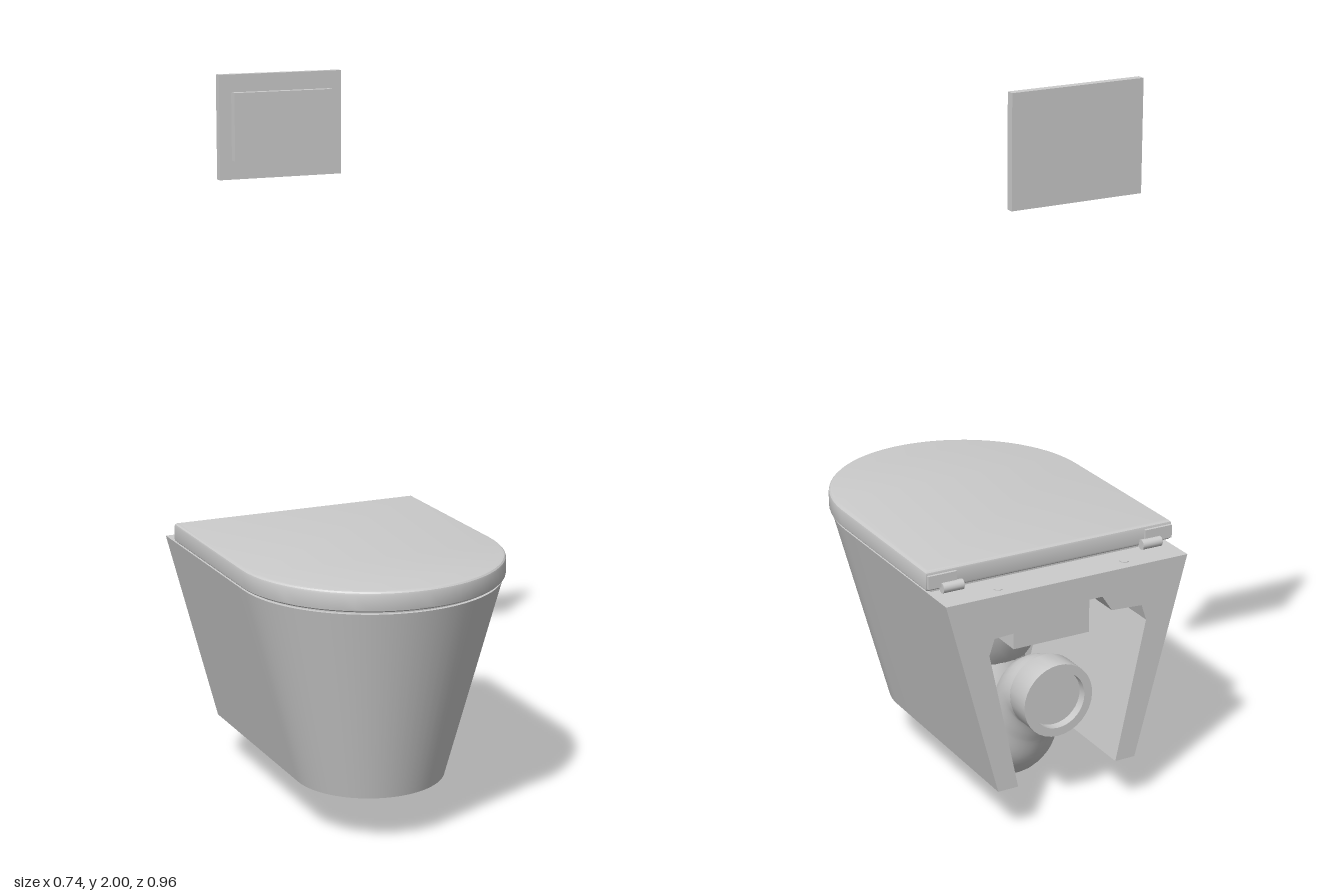
import * as THREE from 'three';
import { toCreasedNormals } from 'three/addons/utils/BufferGeometryUtils.js';

const material = new THREE.MeshStandardMaterial({ color: 0xcccccc, side: THREE.DoubleSide });
const ARC_Z = 0.11; // where the straight sides turn into the round front

function add(parent, name, geometry, x = 0, y = 0, z = 0) {
  const mesh = new THREE.Mesh(geometry, material);
  mesh.name = name;
  mesh.position.set(x, y, z);
  parent.add(mesh);
  return mesh;
}

// D-shaped slab lying flat: straight back and sides, half-round front
function dSlab(w, back, height, bevel = 0, segments = 18) {
  const r = w - bevel;
  const shape = new THREE.Shape();
  shape.moveTo(r, -back - bevel);
  shape.lineTo(r, -ARC_Z);
  shape.absarc(0, -ARC_Z, r, 0, -Math.PI, true);
  shape.lineTo(-r, -back - bevel);
  shape.closePath();
  const g = new THREE.ExtrudeGeometry(shape, {
    depth: height - 2 * bevel, curveSegments: segments,
    bevelEnabled: bevel > 0, bevelSize: bevel, bevelThickness: bevel, bevelSegments: 3,
  });
  g.translate(0, 0, bevel);
  g.rotateX(-Math.PI / 2);
  return g;
}

export function createModel() {
  const group = new THREE.Group();
  const floorY = 0.142, rimY = 0.703, topW = 0.362, bottomW = 0.21, splitZ = 0.02, backZ = -0.48;

  // Front of the bowl: D-slab narrowed toward the floor
  const front = dSlab(topW, splitZ, rimY - floorY);
  const p = front.attributes.position;
  for (let i = 0; i < p.count; i++) {
    const t = p.getY(i) / (rimY - floorY);
    const s = THREE.MathUtils.lerp(bottomW / topW, 1, t);
    p.setX(i, p.getX(i) * s);
    if (p.getZ(i) > ARC_Z) p.setZ(i, ARC_Z + (p.getZ(i) - ARC_Z) * s);
  }
  front.computeVertexNormals();
  add(group, 'bowlFront', toCreasedNormals(front, 0.5), 0, floorY, 0);

  // Rear of the bowl: tapered section with a cavity open to the back and below
  const half = [[bottomW, floorY], [0.15, floorY], [0.237, 0.54], [0.222, 0.585], [0.13, 0.59], [0.1, 0.635]];
  const section = new THREE.Shape();
  section.moveTo(-topW, rimY);
  section.lineTo(topW, rimY);
  half.forEach(([x, y]) => section.lineTo(x, y));
  [...half].reverse().forEach(([x, y]) => section.lineTo(-x, y));
  section.closePath();
  add(group, 'bowlRear',
    new THREE.ExtrudeGeometry(section, { depth: splitZ - backZ, bevelEnabled: false }), 0, 0, backZ);

  // Underside of the basin and water inlet inside the cavity
  const basin = new THREE.SphereGeometry(1, 28, 12, 0, Math.PI * 2, Math.PI / 2, Math.PI / 2);
  basin.scale(0.2, 0.36, 0.22);
  add(group, 'basinUnderside', basin, 0, 0.6, 0);
  add(group, 'inletBlock', new THREE.BoxGeometry(0.23, 0.1, 0.38), 0, 0.545, -0.2);

  // Trap: bent pipe that dips below the bowl and rises to the outlet
  const path = new THREE.CatmullRomCurve3([
    [0.36, -0.03], [0.26, -0.06], [0.16, -0.085], [0.1, -0.135], [0.145, -0.205],
    [0.24, -0.26], [0.315, -0.315], [0.335, -0.37],
  ].map(([y, z]) => new THREE.Vector3(0, y, z)));
  add(group, 'trapPipe', new THREE.TubeGeometry(path, 40, 0.1, 28));
  add(group, 'trapCollar', new THREE.CylinderGeometry(0.11, 0.11, 0.012, 28), 0, floorY - 0.002, 0.06);

  // Outlet socket with a recessed end
  const socket = new THREE.LatheGeometry([
    [0.1, 0], [0.104, 0.01], [0.104, 0.085], [0.08, 0.085], [0.08, 0.06], [0, 0.06],
  ].map(([r, y]) => new THREE.Vector2(r, y)), 32);
  socket.rotateX(-Math.PI / 2);
  add(group, 'outletSocket', toCreasedNormals(socket, 0.5), 0, 0.336, -0.345);

  // Seat and lid
  add(group, 'seat', toCreasedNormals(dSlab(0.352, -0.375, 0.02), 0.5), 0, 0.7, 0);
  add(group, 'lid', toCreasedNormals(dSlab(0.37, -0.386, 0.057, 0.01), 0.5), 0, 0.709, 0);

  // Hinges, lid corners and fixing holes, mirrored
  for (const side of [-1, 1]) {
    add(group, 'lidCorner', new THREE.BoxGeometry(0.083, 0.036, 0.03), side * 0.326, 0.737, -0.379);
    const hinge = new THREE.CylinderGeometry(0.014, 0.014, 0.06, 16);
    hinge.rotateZ(Math.PI / 2);
    add(group, 'hinge', hinge, side * 0.3, 0.717, -0.395);
    add(group, 'fixingCap', new THREE.CylinderGeometry(0.012, 0.012, 0.004, 16), side * 0.19, rimY, -0.44);
  }

  // Wall-mounted flush plate with its button
  add(group, 'flushPlate', new THREE.BoxGeometry(0.368, 0.29, 0.022), -0.006, 1.855, -0.471);
  add(group, 'flushButton', new THREE.BoxGeometry(0.296, 0.188, 0.03), -0.006, 1.857, -0.451);

  return group;
}
